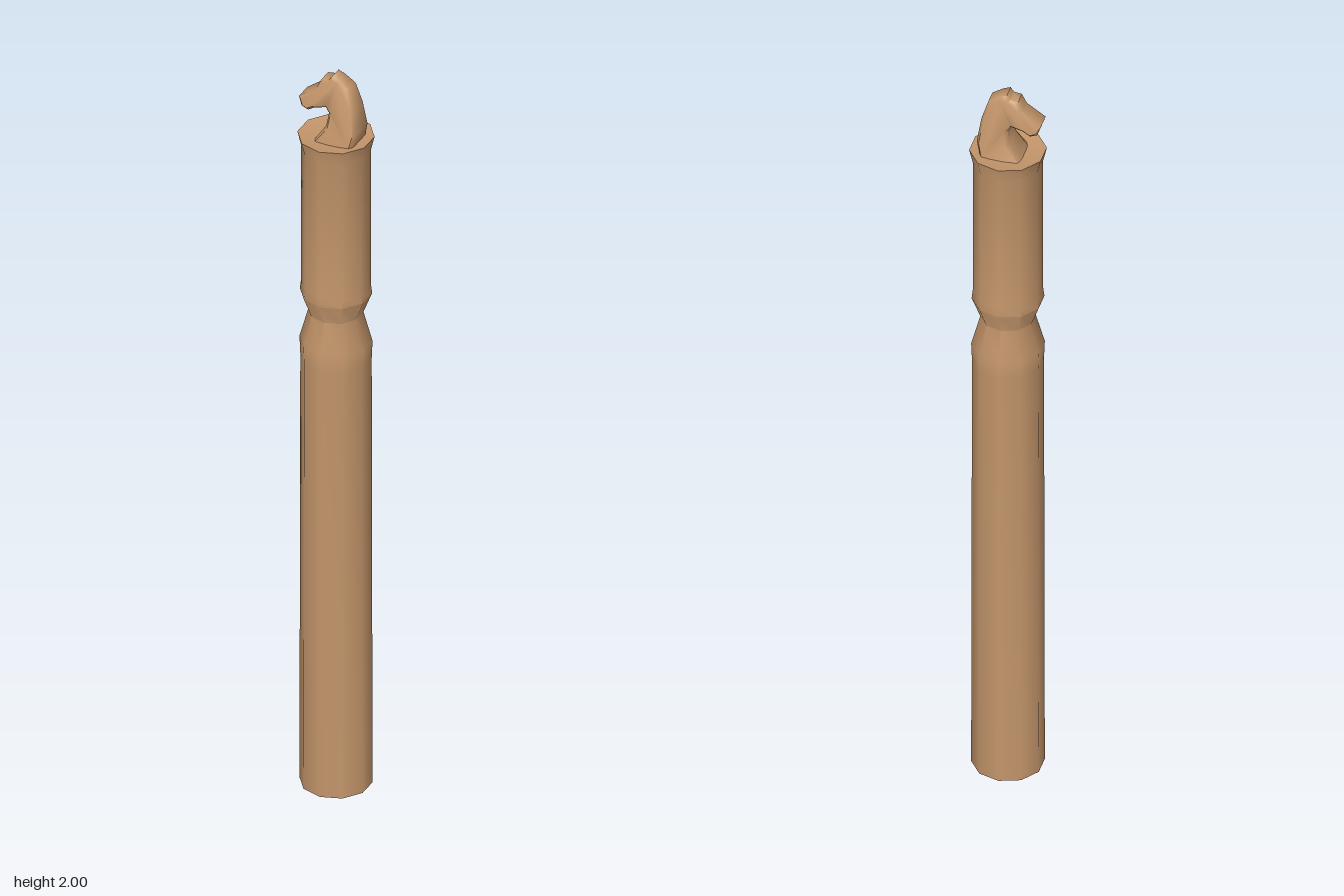
import * as THREE from 'three';
import { toCreasedNormals } from 'three/addons/utils/BufferGeometryUtils.js';

const vec = ([x, y]) => new THREE.Vector2(x, y);

// Turned ten-sided post with a pinched waist and a flared rim
function postGeometry() {
  const profile = [
    [0, 0], [0.089, 0], [0.087, 1.2], [0.089, 1.25], [0.067, 1.33],
    [0.088, 1.385], [0.085, 1.41], [0.085, 1.79], [0.094, 1.828], [0.08, 1.826], [0, 1.815],
  ].map(vec);
  return toCreasedNormals(new THREE.LatheGeometry(profile, 10), 0.7);
}

// Horse head outline, extruded and tapered in thickness towards the top
function horseGeometry() {
  const outline = [
    [-0.045, 1.815], [0.06, 1.815], [0.07, 1.86], [0.06, 1.925], [0.044, 1.975],
    [0.016, 1.993], [-0.002, 2.0], [-0.01, 1.988], [-0.03, 1.985], [-0.042, 1.96],
    [-0.088, 1.925], [-0.08, 1.902], [-0.062, 1.895], [-0.045, 1.905],
    [-0.015, 1.913], [-0.006, 1.9], [-0.012, 1.865],
  ].map(vec);
  const geo = new THREE.ExtrudeGeometry(new THREE.Shape(outline), {
    depth: 1.5, bevelEnabled: true, bevelThickness: 0.25,
    bevelSize: 0.007, bevelOffset: -0.007, bevelSegments: 1,
  });
  geo.translate(0, 0, -0.75);
  const pos = geo.attributes.position;
  for (let i = 0; i < pos.count; i++) {
    const t = THREE.MathUtils.clamp((pos.getY(i) - 1.82) / 0.15, 0, 1);
    pos.setZ(i, pos.getZ(i) * THREE.MathUtils.lerp(0.046, 0.024, t));
  }
  return toCreasedNormals(geo, 0.9);
}

export function createModel() {
  const group = new THREE.Group();
  const wood = new THREE.MeshStandardMaterial({ color: 0xc4966b });
  wood.name = 'wood';
  const add = (name, geometry) => {
    const mesh = new THREE.Mesh(geometry, wood);
    mesh.name = name;
    group.add(mesh);
  };
  add('post', postGeometry());
  add('horseHead', horseGeometry());
  return group;
}
